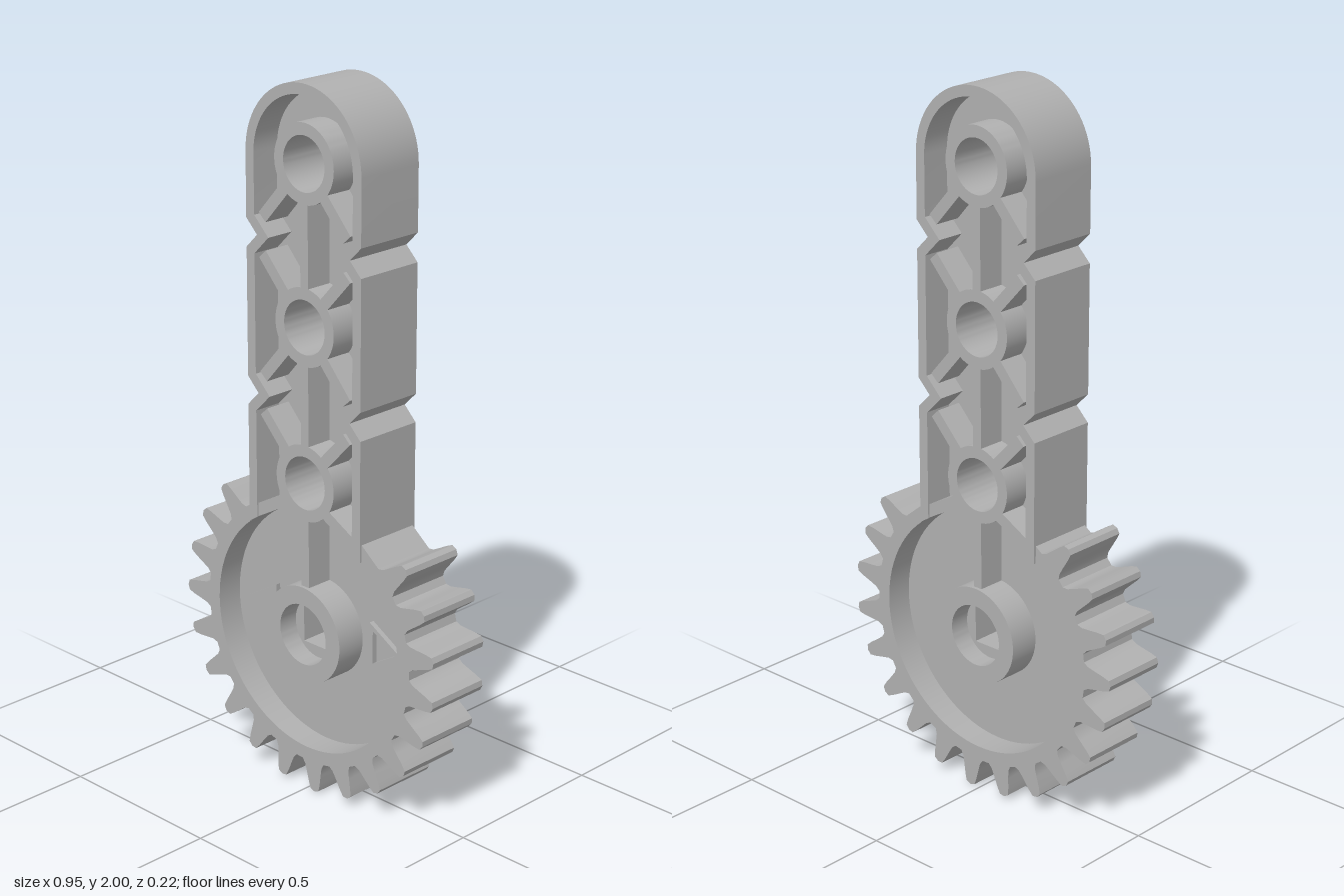
import * as THREE from 'three';
import { toCreasedNormals } from 'three/addons/utils/BufferGeometryUtils.js';

const GEAR_Y = 0.475;                 // gear centre height
const HOLES = [1.79, 1.352, 0.915];   // arm hole heights
const NOTCHES = [1.57, 1.13];         // arm notch heights
const HALF_W = 0.21;                  // arm half width and end radius

export function createModel() {
  const model = new THREE.Group();
  const grey = new THREE.MeshStandardMaterial({ color: 0xb0b0b0 });
  grey.name = 'grey plastic';

  // Extrudes a front-view shape between two z values
  function plate(name, shape, z0, z1) {
    const geo = new THREE.ExtrudeGeometry(shape, { depth: z1 - z0, bevelEnabled: false, curveSegments: 32 });
    geo.translate(0, 0, z0);
    const mesh = new THREE.Mesh(toCreasedNormals(geo, 0.5), grey);
    mesh.name = name;
    model.add(mesh);
    return mesh;
  }

  function circle(r, y, Type = THREE.Path) {
    return new Type().absarc(0, y, r, 0, Math.PI * 2, false);
  }

  function polygon(points, Type = THREE.Shape) {
    return new Type(points.map(([x, y]) => new THREE.Vector2(x, y)));
  }

  // Notched arm outline, inset by d, from bottom right over the top to bottom left
  function armOutline(d, yBottom) {
    const w = HALF_W - d;
    const tip = 0.17 - d * Math.SQRT2;
    const right = [[w, yBottom]];
    for (const y of [...NOTCHES].reverse()) {
      right.push([w, y - (w - tip)], [tip, y], [w, y + (w - tip)]);
    }
    const pts = [...right];
    for (let i = 0; i <= 40; i++) {
      const a = Math.PI * i / 40;
      pts.push([w * Math.cos(a), HOLES[0] + w * Math.sin(a)]);
    }
    return pts.concat([...right].reverse().map(([x, y]) => [-x, y]));
  }

  // Arm wall: open loop of constant thickness
  const wall = [...armOutline(0, 0.749), ...armOutline(0.03, 0.769).reverse()];
  plate('armWall', polygon(wall), -0.105, 0.105);

  // Thin web filling both arm and gear
  const webPts = armOutline(0.015, 0.79);
  const webR = 0.36;
  const start = Math.acos(-0.195 / webR), end = Math.PI * 2 + Math.acos(0.195 / webR);
  for (let i = 0; i <= 64; i++) {
    const a = start + (end - start) * i / 64;
    webPts.push([webR * Math.cos(a), GEAR_Y + webR * Math.sin(a)]);
  }
  const web = polygon(webPts);
  for (const y of HOLES) web.holes.push(circle(0.09, y));
  web.holes.push(circle(0.11, GEAR_Y));
  plate('web', web, -0.02, 0.02);

  // Toothed rim, left open where the arm joins
  const TEETH = 23, pitch = Math.PI * 2 / TEETH;
  const halfTooth = [[0.041, 0.385], [0.032, 0.398], [0.027, 0.42], [0.021, 0.45], [0.015, 0.47]];
  const toothPts = [...halfTooth.map(([w, r]) => [-w, r]), [0, 0.475],
    ...[...halfTooth].reverse()];
  const gap = THREE.MathUtils.degToRad(57);
  const a0 = Math.PI - gap, a1 = Math.PI * 2 + gap;
  const rim = [];
  const polar = (r, a) => rim.push([r * Math.cos(a), GEAR_Y + r * Math.sin(a)]);
  polar(0.385, a0);
  for (let i = -3; i <= 14; i++) {
    for (const [w, r] of toothPts) polar(r, Math.PI + i * pitch + w / r);
  }
  polar(0.385, a1);
  for (let i = 0; i <= 72; i++) polar(0.345, a1 + (a0 - a1) * i / 72);
  plate('gearRim', polygon(rim), -0.098, 0.098);

  // Round bosses around the arm holes
  for (const y of HOLES) {
    const boss = circle(0.108, y, THREE.Shape);
    boss.holes.push(circle(0.075, y));
    plate('armBoss', boss, -0.1, 0.1);
  }

  // Gear hub with a recessed plate holding the square socket
  const hub = circle(0.14, GEAR_Y, THREE.Shape);
  hub.holes.push(circle(0.088, GEAR_Y));
  plate('gearHub', hub, -0.11, 0.11);
  const s = 0.055;
  const socket = circle(0.1, GEAR_Y, THREE.Shape);
  socket.holes.push(polygon([[-s, GEAR_Y - s], [-s, GEAR_Y + s], [s, GEAR_Y + s], [s, GEAR_Y - s]], THREE.Path));
  plate('squareSocket', socket, -0.05, 0.05);

  // Straight stiffening rib between two points
  function rib(name, x0, y0, x1, y1, width) {
    const dx = x1 - x0, dy = y1 - y0;
    const mesh = new THREE.Mesh(new THREE.BoxGeometry(Math.hypot(dx, dy), width, 0.2), grey);
    mesh.position.set((x0 + x1) / 2, (y0 + y1) / 2, 0);
    mesh.rotation.z = Math.atan2(dy, dx);
    mesh.name = name;
    model.add(mesh);
  }

  // Vertical ribs down the middle
  const bossEdge = 0.1;
  rib('centreRib', 0, HOLES[0] - bossEdge, 0, HOLES[1] + bossEdge, 0.028);
  rib('centreRib', 0, HOLES[1] - bossEdge, 0, HOLES[2] + bossEdge, 0.028);
  rib('centreRib', 0, HOLES[2] - bossEdge, 0, GEAR_Y + 0.13, 0.028);

  // Diagonal ribs from the bosses to the notches and to the gear rim
  for (const side of [-1, 1]) {
    NOTCHES.forEach((y, i) => {
      rib('diagonalRib', side * 0.065, HOLES[i] - 0.07, side * 0.155, y + 0.05, 0.034);
      rib('diagonalRib', side * 0.065, HOLES[i + 1] + 0.07, side * 0.155, y - 0.05, 0.034);
    });
    rib('lowerRib', side * 0.07, HOLES[2] - 0.065, side * 0.188, 0.785, 0.034);

    // Raised triangular arrow frame on the front of the gear
    const mark = polygon([[side * 0.3, GEAR_Y], [side * 0.18, GEAR_Y + 0.07], [side * 0.18, GEAR_Y - 0.07]]);
    mark.holes.push(polygon([[side * 0.274, GEAR_Y], [side * 0.192, GEAR_Y + 0.048],
      [side * 0.192, GEAR_Y - 0.048]], THREE.Path));
    plate('arrowFrame', mark, 0.015, 0.035);
  }

  return model;
}
